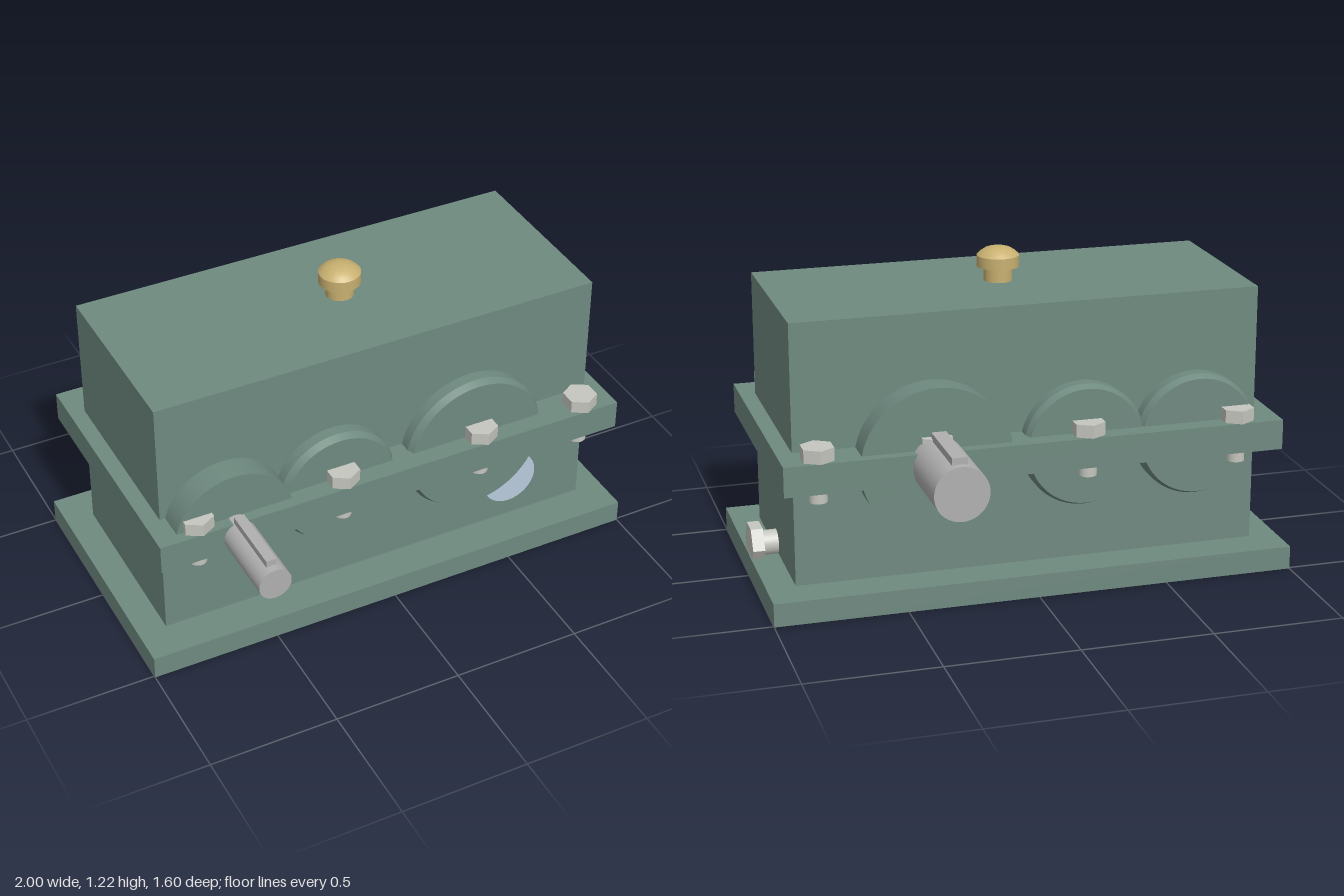
import * as THREE from 'three';
import { toCreasedNormals } from 'three/addons/utils/BufferGeometryUtils.js';

const paint = (color) => new THREE.MeshStandardMaterial({ color });

export function createModel() {
  const root = new THREE.Group();
  const green = paint(0x6f8a80), steel = paint(0xb0b0b0), zinc = paint(0xc6c6c0);
  const brass = paint(0xc8b070), glass = paint(0xb8cbdc);
  const shaftY = 0.55;

  function add(name, geometry, material, x, y, z, parent = root) {
    const mesh = new THREE.Mesh(geometry, material);
    mesh.name = name;
    mesh.position.set(x, y, z);
    parent.add(mesh);
    return mesh;
  }
  const box = (name, w, h, d, mat, x, y, z, parent) =>
    add(name, new THREE.BoxGeometry(w, h, d), mat, x, y, z, parent);
  // Solid turned around y from [radius, height] points, with crisp edges
  const turned = (points, segments = 64) => toCreasedNormals(
    new THREE.LatheGeometry(points.map(([r, y]) => new THREE.Vector2(r, y)), segments), 0.35);
  // Hexagonal prism with flat faces
  const hex = (r, h) => toCreasedNormals(new THREE.CylinderGeometry(r, r, h, 6), 0.3);

  // Housing
  box('basePlate', 2, 0.09, 1.015, green, 0, 0.045, 0);
  box('lowerHousing', 1.78, 0.41, 0.725, green, 0, 0.29, 0);
  box('splitFlange', 1.9, 0.115, 1.015, green, 0, 0.5475, 0);
  box('upperHousing', 1.78, 0.49, 0.725, green, 0, 0.845, 0);

  // Bearing covers: [x, radius, front reach, back reach]; shaft exits have plain longer covers
  const covers = [[-0.64, 0.235, 0.464, 0.437], [-0.2, 0.235, 0.435, 0.437], [0.375, 0.287, 0.435, 0.467]];
  for (const [x, r, front, back] of covers) {
    for (const [side, reach] of [[1, front], [-1, back]]) {
      const bevel = reach > 0.45 ? 0 : 1;
      const profile = [[0, 0.3], [r, 0.3], [r, reach - 0.028 * bevel]];
      if (bevel) profile.push([r - 0.013, reach]);
      else profile.push([r, reach]);
      profile.push([0, reach]);
      const cover = add('bearingCover', turned(profile), green, x, shaftY, 0);
      cover.rotation.x = side * Math.PI / 2;
    }
  }

  // Keyed shafts
  function shaft(name, x, y, r, side, keyWidth, keyStart, keyTop) {
    const group = new THREE.Group();
    group.name = name;
    root.add(group);
    const rod = add('shaftRod', new THREE.CylinderGeometry(r, r, 0.45, 48), steel, x, y, side * 0.575, group);
    rod.rotation.x = Math.PI / 2;
    const length = 0.77 - keyStart;
    box('shaftKey', keyWidth, keyTop - y, length, steel, x, (keyTop + y) / 2, side * (keyStart + length / 2), group);
  }
  shaft('inputShaft', -0.64, 0.547, 0.063, 1, 0.04, 0.5, 0.634);
  shaft('outputShaft', 0.375, shaftY, 0.102, -1, 0.056, 0.48, 0.676);

  // Flange bolts
  for (const x of [-0.785, -0.2, 0.38, 0.815]) {
    for (const z of [-0.45, 0.45]) {
      const bolt = new THREE.Group();
      bolt.name = 'flangeBolt';
      bolt.position.set(x, 0, z);
      root.add(bolt);
      add('boltHead', hex(0.065, 0.05), zinc, 0, 0.63, 0, bolt);
      add('boltShank', new THREE.CylinderGeometry(0.034, 0.034, 0.17, 24), zinc, 0, 0.53, 0, bolt);
    }
  }

  // Drain plug on the end wall
  const plug = new THREE.Group();
  plug.name = 'drainPlug';
  plug.position.set(0, 0.128, 0);
  root.add(plug);
  add('plugNeck', new THREE.CylinderGeometry(0.048, 0.048, 0.08, 32), zinc, 0.92, 0, 0, plug).rotation.z = -Math.PI / 2;
  add('plugHead', hex(0.085, 0.046), zinc, 0.972, 0, 0, plug).rotation.z = -Math.PI / 2;

  // Oil sight glass, partly hidden by the large cover
  add('sightGlass', new THREE.CylinderGeometry(0.112, 0.112, 0.06, 48), glass, 0.562, 0.287, 0.354).rotation.x = Math.PI / 2;

  // Breather with domed cap
  const breather = [[0, 1.08], [0.054, 1.08], [0.054, 1.145], [0.08, 1.145], [0.08, 1.188],
    [0.068, 1.2], [0.05, 1.212], [0.027, 1.219], [0, 1.222]];
  add('breather', turned(breather, 40), brass, 0.015, 0, 0);

  return root;
}
